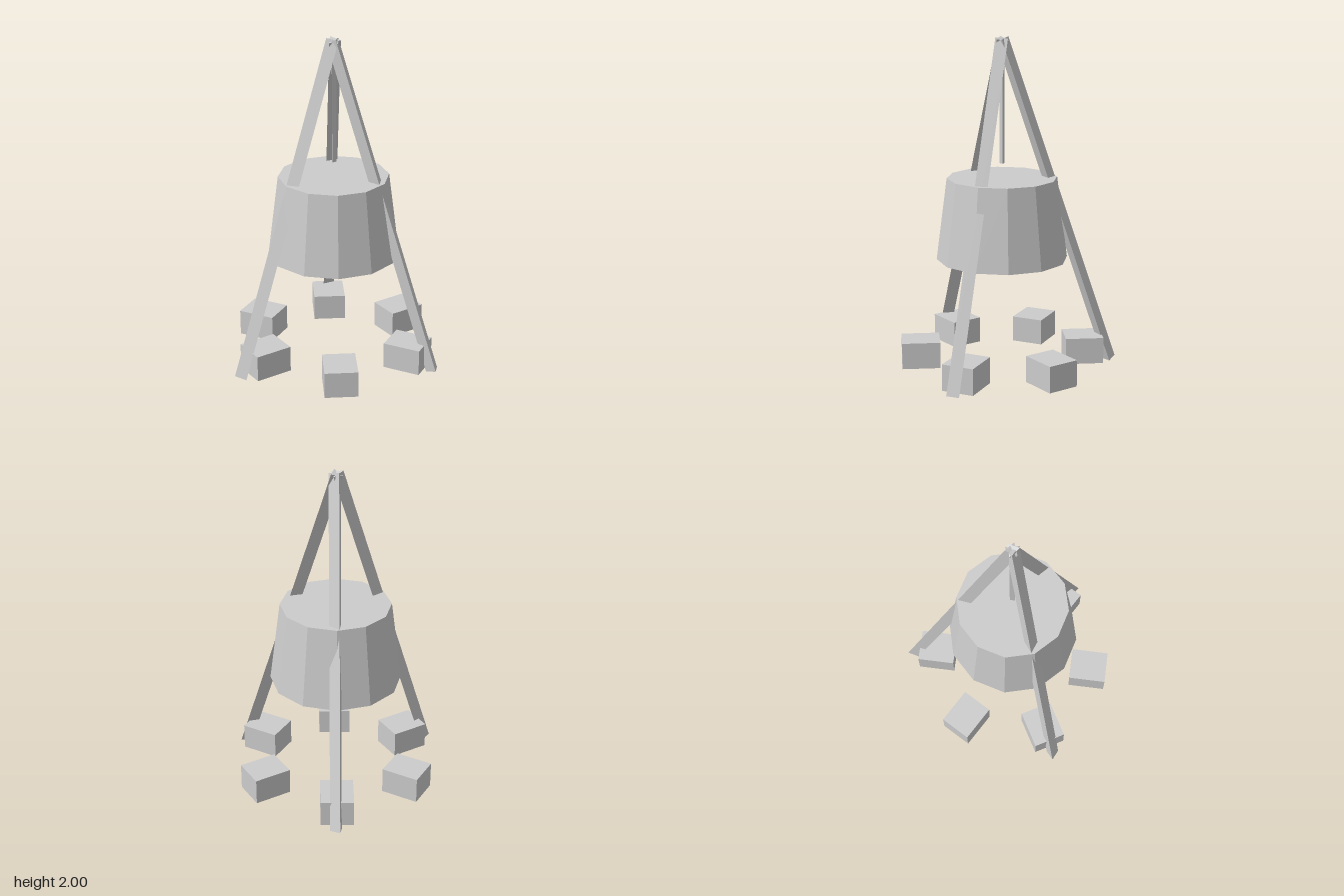
import * as THREE from 'three';

export function createModel() {
  const model = new THREE.Group();
  const grey = new THREE.MeshStandardMaterial({ color: 0xcccccc, flatShading: true });
  grey.name = 'plain grey';

  const axis = new THREE.Group(); // everything is arranged round this upright axis
  axis.name = 'campfireCookingTripod';
  axis.position.x = -0.047;
  model.add(axis);

  const add = (name, geometry, parent = axis) => {
    const mesh = new THREE.Mesh(geometry, grey);
    mesh.name = name;
    parent.add(mesh);
    return mesh;
  };
  // empty group turned round the axis, from +x towards +z
  const spoke = (degrees) => {
    const group = new THREE.Group();
    group.rotation.y = -THREE.MathUtils.degToRad(degrees);
    axis.add(group);
    return group;
  };

  // closed pot, wider at the bottom
  add('pot', new THREE.CylinderGeometry(0.33, 0.394, 0.493, 12)).position.y = 0.919;

  // hanging rod
  add('hangingRod', new THREE.CylinderGeometry(0.017, 0.017, 0.72, 3)).position.y = 1.61;

  // three leaning poles of triangular section, each with its own roll
  const reach = 0.664, low = 0.014, high = 1.986;
  const tilt = Math.atan2(reach, high - low);
  const length = Math.hypot(reach, high - low);
  [[0, 44], [120, 22], [240, -22]].forEach(([turn, roll]) => {
    const start = THREE.MathUtils.degToRad(90 - roll);
    const geometry = new THREE.CylinderGeometry(0.043, 0.043, length, 3, 1, false, start);
    const leg = add('leg', geometry, spoke(turn));
    leg.position.set(reach / 2, (low + high) / 2, 0);
    leg.rotation.z = tilt;
  });

  // ring of fire stones
  for (let i = 0; i < 6; i++) {
    const stone = add('fireStone', new THREE.BoxGeometry(0.23, 0.16, 0.197), spoke(i * 60));
    stone.position.set(0.496, 0.097, 0);
  }

  return model;
}
